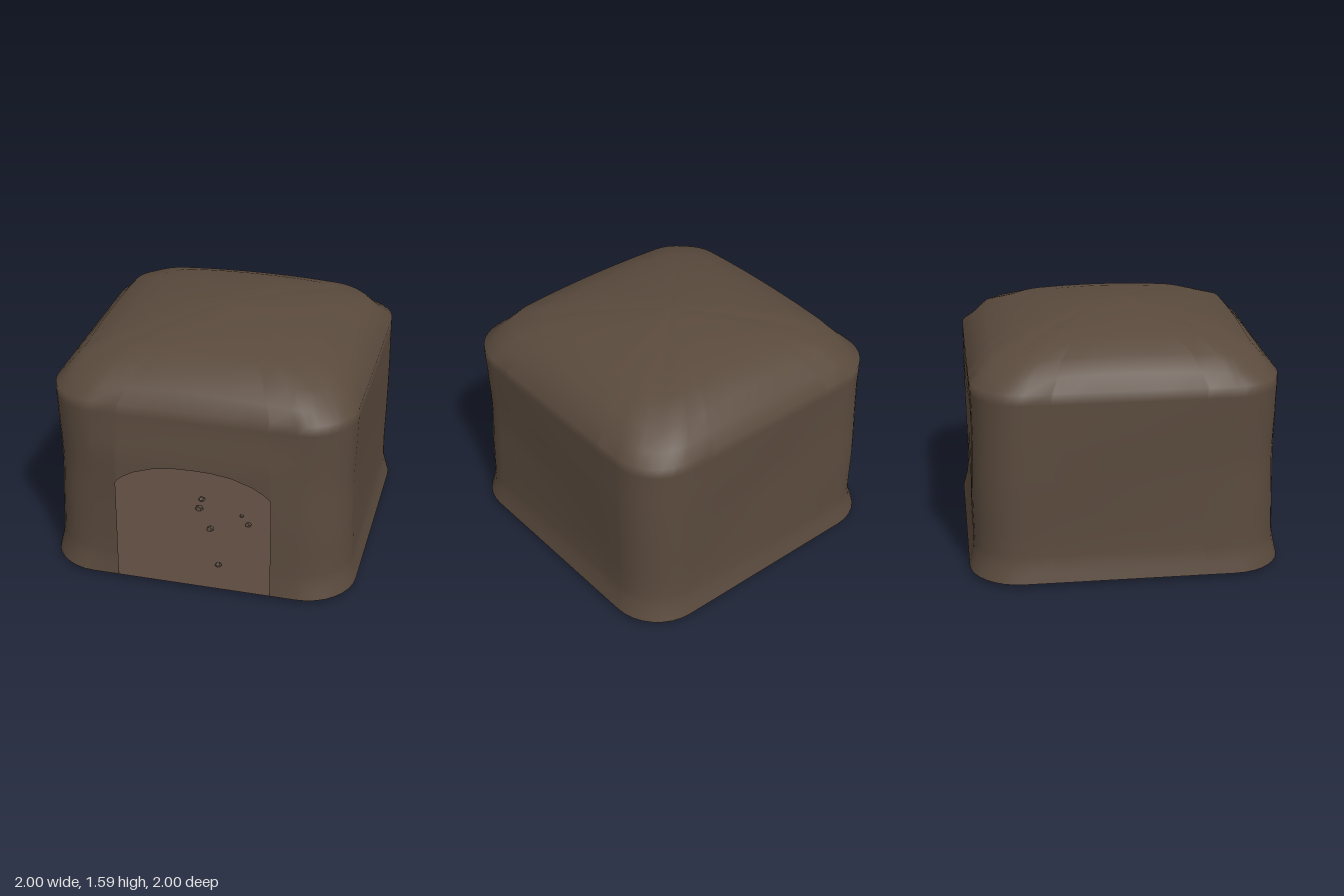
import * as THREE from 'three';

const mud = new THREE.MeshStandardMaterial({ color: 0x5a4a3d, side: THREE.DoubleSide });
mud.name = 'mud';
const earth = new THREE.MeshStandardMaterial({ color: 0x5a483e, side: THREE.DoubleSide });
earth.name = 'packed earth';
const stone = new THREE.MeshStandardMaterial({ color: 0x54463b });
stone.name = 'stone';

const FLOOR_Y = 0.03, DOOR_HALF = 0.5, SPRING_Y = 0.73;

// Rounded square of half-width 1, walked from the front towards +x
function perimeter() {
  const pts = [];
  const flat = [-0.5, -0.485, -0.45, -0.38, -0.25, -0.12, 0, 0.12, 0.25, 0.38, 0.45, 0.485, 0.5];
  for (let k = 0; k < 4; k++) {
    const side = flat.map((t) => [t, 1]);
    for (let i = 0; i <= 8; i++) {
      const a = (i / 8) * Math.PI / 2;
      side.push([0.67 + 0.33 * Math.sin(a), 0.67 + 0.33 * Math.cos(a)]);
    }
    for (let [x, z] of side) {
      for (let n = 0; n < k; n++) [x, z] = [z, -x];
      pts.push([x, z]);
    }
  }
  return pts;
}

const doorTop = (x) =>
  SPRING_Y + 0.155 * Math.pow(Math.max(0, 1 - Math.pow(Math.abs(x) / DOOR_HALF, 2.5)), 0.8);
const fade = (v, a, b) => 1 - THREE.MathUtils.smoothstep(v, a, b);

// Thin walls and domed roof: rounded-square rings, with an arched opening in front
function shellGeometry(ring) {
  const profile = [ // height, half-width
    [0.03, 1], [0.08, 0.988], [0.14, 0.974], [0.2, 0.967], [0.35, 0.965], [0.5, 0.965], [0.65, 0.963],
    [SPRING_Y, 0.962], [0.8, 0.962], [0.9, 0.963], [1, 0.965], [1.1, 0.965], [1.2, 0.968],
    [1.27, 0.968], [1.36, 0.895], [1.45, 0.815], [1.515, 0.64], [1.55, 0.46], [1.575, 0.28],
    [1.588, 0.12], [1.59, 0],
  ];
  const n = ring.length, pos = [], index = [];
  const inDoor = ([x, z]) => z > 0.99 && Math.abs(x) <= DOOR_HALF;

  profile.forEach(([h, r0]) => {
    for (const p of ring) {
      const [bx, bz] = p;
      // flat doorway surround
      const d = bz > 0.6 ? fade(h, 0.9, 1.2) * fade(Math.abs(bx), 0.5, 0.75) : 0;
      // hand-made unevenness
      const mid = Math.max(0, Math.sin(Math.PI * (h - FLOOR_Y) / 1.3));
      const wob = 0.008 * mid * Math.sin(4 * h + 3 * bx - 2 * bz);
      const r = THREE.MathUtils.lerp(r0 + wob, 1, d);
      let y = inDoor(p) && h >= SPRING_Y && h < 1 ? Math.max(h, doorTop(bx)) : h;
      // roof sags slightly towards the corners
      if (h > 1.3) y -= 0.05 * r0 * Math.pow(Math.min(Math.abs(bx), Math.abs(bz)), 2);
      pos.push(bx * r, y, bz * r);
    }
  });

  for (let j = 0; j < profile.length - 1; j++) {
    for (let i = 0; i < n; i++) {
      const i2 = (i + 1) % n;
      if (inDoor(ring[i]) && inDoor(ring[i2]) && profile[j + 1][0] <= SPRING_Y) continue;
      const a = j * n + i, b = j * n + i2;
      index.push(a, b, b + n, a, b + n, a + n);
    }
  }
  const g = new THREE.BufferGeometry();
  g.setAttribute('position', new THREE.Float32BufferAttribute(pos, 3));
  g.setIndex(index);
  g.computeVertexNormals();
  return g;
}

export function createModel() {
  const group = new THREE.Group();
  group.name = 'mudHut';
  const add = (name, geometry, material, parent = group) => {
    const mesh = new THREE.Mesh(geometry, material);
    mesh.name = name;
    parent.add(mesh);
    return mesh;
  };

  const ring = perimeter();
  add('wallsAndRoof', shellGeometry(ring), mud);

  // Floor
  const outline = new THREE.Shape(ring.map(([x, z]) => new THREE.Vector2(x, -z)));
  const floor = new THREE.ShapeGeometry(outline);
  floor.rotateX(-Math.PI / 2).translate(0, FLOOR_Y, 0);
  add('floor', floor, earth);

  // Pebbles half sunk in the floor: x, z, radius
  const pebbles = new THREE.Group();
  pebbles.name = 'pebbles';
  group.add(pebbles);
  [
    [0.1, 0.75, 0.023], [-0.06, 0.35, 0.028], [-0.2, 0.12, 0.03], [-0.215, 0, 0.025],
    [0.61, 0.24, 0.016], [0.18, 0.24, 0.024], [0.11, 0.14, 0.016], [0.03, -0.48, 0.018],
  ].forEach(([x, z, r], i) => {
    const m = add('pebble', new THREE.DodecahedronGeometry(r, 0), stone, pebbles);
    m.position.set(x, 0.03, z);
    m.rotation.set(i * 1.3, i * 2.1, i * 0.7);
  });

  return group;
}
